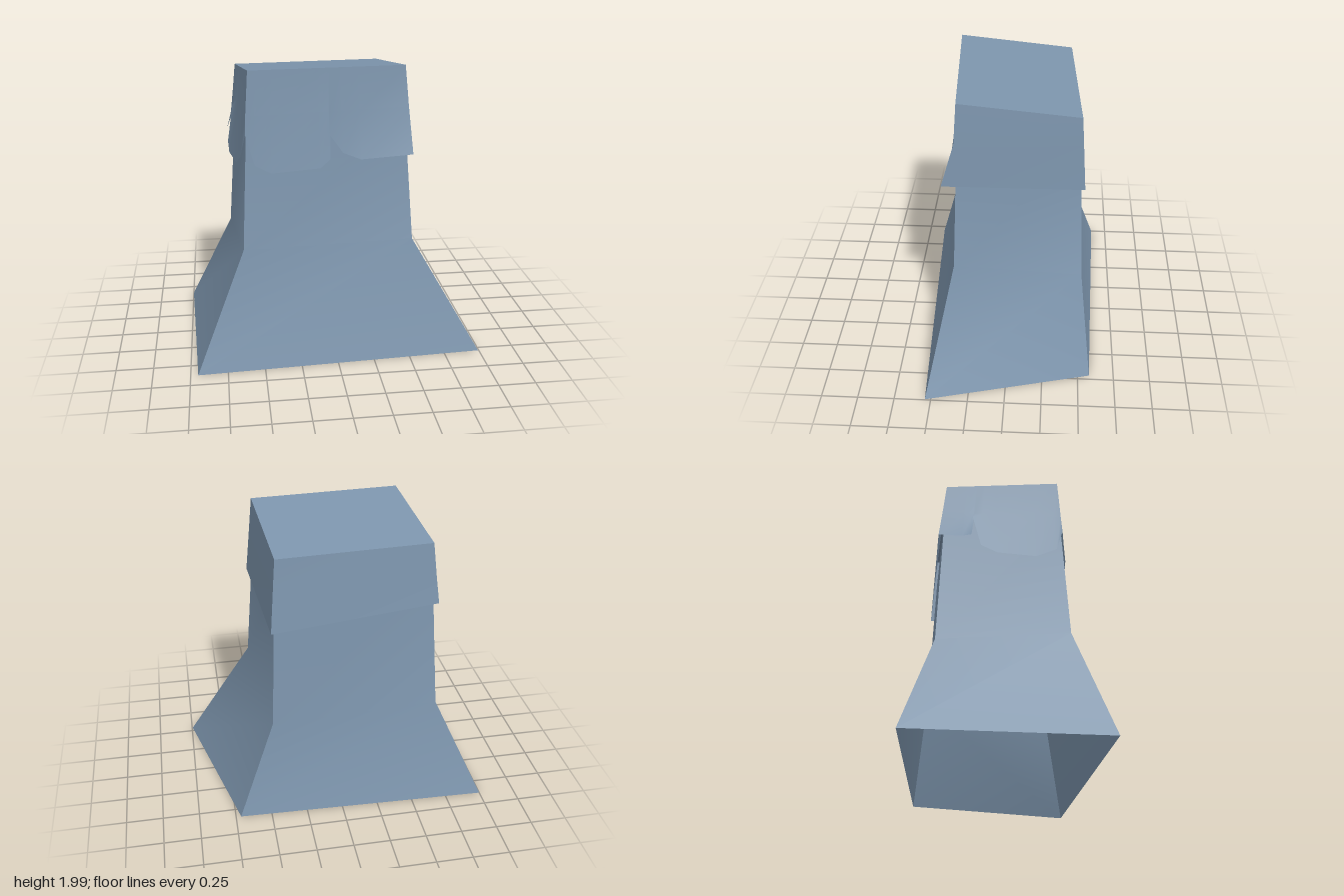
import * as THREE from 'three';

// Surface through rows of points, top row first, columns left to right seen from outside
function loft(rows) {
  const n = rows[0].length;
  const index = [];
  for (let r = 0; r < rows.length - 1; r++) {
    for (let c = 0; c < n - 1; c++) {
      const a = r * n + c, b = a + 1, d = a + n, e = d + 1;
      index.push(a, d, b, b, d, e);
    }
  }
  const g = new THREE.BufferGeometry();
  g.setAttribute('position', new THREE.Float32BufferAttribute(rows.flat(2), 3));
  g.setIndex(index);
  g.computeVertexNormals();
  return g;
}

const mix = (a, b, t) => a.map((v, i) => v + (b[i] - v) * t);

export function createModel() {
  const group = new THREE.Group();
  const slate = new THREE.MeshStandardMaterial({ color: 0x7d95ad, side: THREE.DoubleSide });
  slate.name = 'slateBlue';
  const add = (name, rows) => {
    const mesh = new THREE.Mesh(loft(rows), slate);
    mesh.name = name;
    group.add(mesh);
  };

  // Corners run front left-hand, front right-hand, back right-hand, back left-hand (as seen from the front)
  const sides = ['Front', 'RightHand', 'Back', 'LeftHand'];

  // Flared pillar, open underneath, its top hidden inside the cap
  const pillar = [
    [[-0.57, 1.7, 0.38], [0.465, 1.7, 0.32], [0.415, 1.7, -0.455], [-0.615, 1.7, -0.4]],
    [[-0.615, 0.8, 0.425], [0.535, 0.8, 0.36], [0.46, 0.7, -0.5], [-0.685, 0.7, -0.44]],
    [[-0.95, 0, 0.63], [0.995, 0, 0.54], [0.715, 0, -0.58], [-1, 0, -0.635]],
  ];
  sides.forEach((s, i) => add('pillar' + s, pillar.map(r => [r[i], r[(i + 1) % 4]])));

  // Cap: sloped top, shoulder line and a lower hem for each side
  const top = [[-0.555, 1.99, 0.375], [0.465, 1.99, 0.315], [0.41, 1.885, -0.46], [-0.615, 1.885, -0.395]];
  const shoulder = [[-0.576, 1.7, 0.39], [0.49, 1.72, 0.335], [0.425, 1.7, -0.473], [-0.637, 1.67, -0.418]];
  const cornerFL = [-0.582, 1.58, 0.398], cornerFR = [0.51, 1.42, 0.425];
  const cornerBR = [0.45, 1.385, -0.495], cornerBL = [-0.66, 1.475, -0.44];
  const hems = [
    // Scalloped front
    [cornerFL, [-0.56, 1.5, 0.405], [-0.525, 1.38, 0.418], [-0.42, 1.325, 0.422], [-0.1, 1.345, 0.412],
      [-0.035, 1.4, 0.405], [-0.03, 1.55, 0.362], [0.05, 1.44, 0.4], [0.17, 1.39, 0.396], cornerFR],
    [cornerFR, cornerBR],
    [cornerBR, cornerBL],
    // Scalloped side
    [cornerBL, [-0.685, 1.455, -0.286], [-0.685, 1.47, -0.223], [-0.645, 1.63, -0.215], [-0.685, 1.39, -0.16],
      [-0.68, 1.34, -0.05], [-0.64, 1.345, 0.21], [-0.615, 1.42, 0.35], cornerFL],
  ];
  hems.forEach((hem, i) => {
    const j = (i + 1) % 4;
    const axis = i % 2 ? 2 : 0;
    const from = hem[0][axis], span = hem[hem.length - 1][axis] - from;
    const row = ring => hem.map(p => mix(ring[i], ring[j], (p[axis] - from) / span));
    add('cap' + sides[i], [row(top), row(shoulder), hem]);
  });
  add('capTop', [[top[3], top[2]], [top[0], top[1]]]);

  return group;
}
